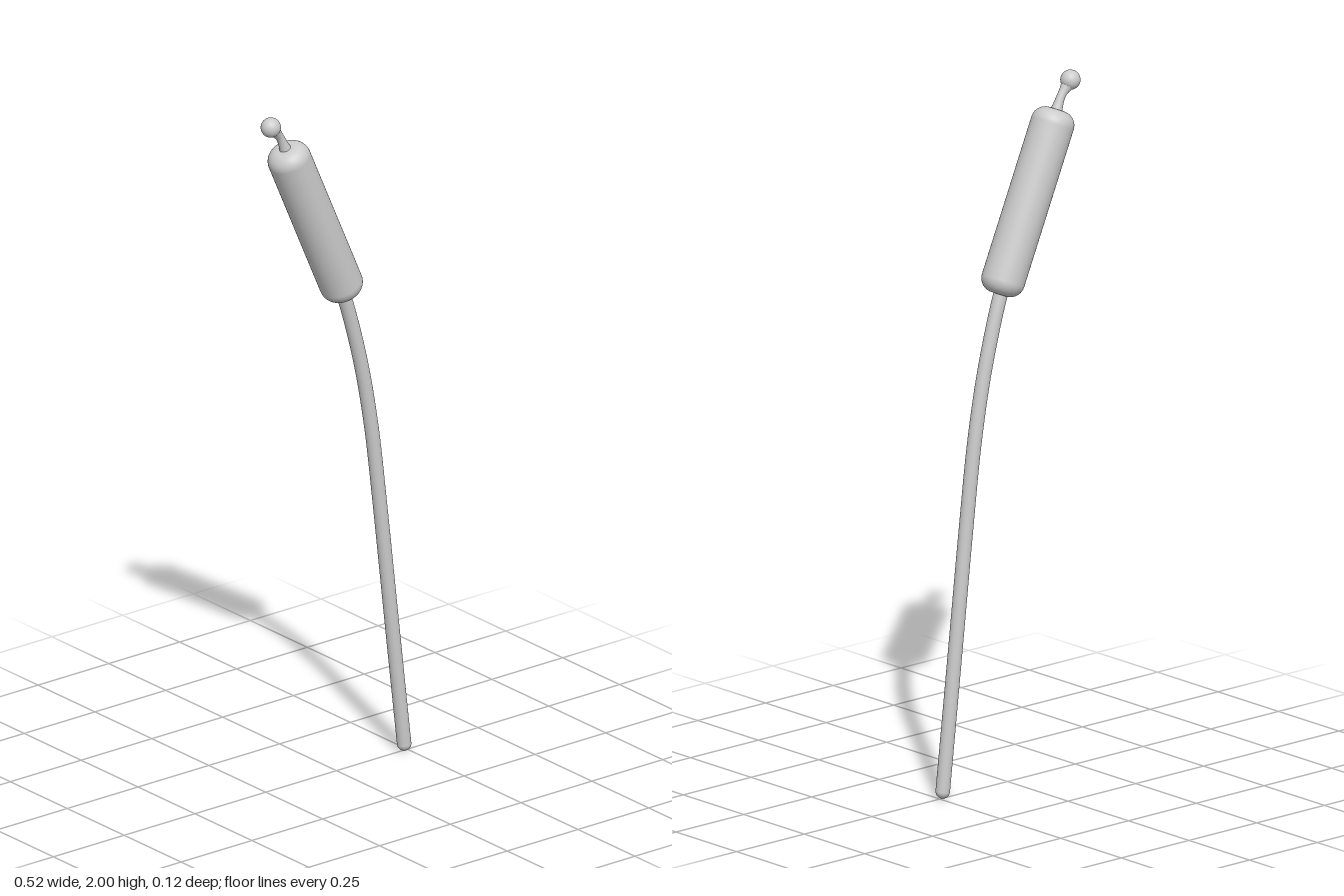
import * as THREE from 'three';
import { mergeVertices } from 'three/addons/utils/BufferGeometryUtils.js';

const material = new THREE.MeshStandardMaterial({ color: 0xcccccc });

function addPart(group, name, geometry) {
  const mesh = new THREE.Mesh(geometry, material);
  mesh.name = name;
  group.add(mesh);
  return mesh;
}

// Round tube along a curve; radiusAt(u) gives the radius at each arc-length fraction
function taperedTube(points, radiusAt, rings = 48, sides = 24) {
  const curve = new THREE.CatmullRomCurve3(points.map(([x, y]) => new THREE.Vector3(x, y, 0)));
  let geometry = new THREE.TubeGeometry(curve, rings, 1, sides);
  const pos = geometry.attributes.position;
  const v = new THREE.Vector3();
  for (let i = 0; i < pos.count; i++) {
    const u = Math.floor(i / (sides + 1)) / rings;
    const centre = curve.getPointAt(u);
    v.fromBufferAttribute(pos, i).sub(centre).multiplyScalar(radiusAt(u)).add(centre);
    pos.setXYZ(i, v.x, v.y, v.z);
  }
  geometry.deleteAttribute('uv');
  geometry.deleteAttribute('normal');
  geometry = mergeVertices(geometry, 1e-5);
  geometry.computeVertexNormals();
  return geometry;
}

// Cylinder with filleted rims, centred on the origin along y
function roundedCylinder(radius, halfLength, fillet) {
  const profile = [new THREE.Vector2(0, -halfLength)];
  for (const end of [-1, 1]) {
    for (let i = 0; i <= 10; i++) {
      const a = (Math.PI / 2) * (end < 0 ? i / 10 - 1 : i / 10);
      profile.push(new THREE.Vector2(
        radius - fillet + fillet * Math.cos(a),
        end * (halfLength - fillet) + fillet * Math.sin(a)
      ));
    }
  }
  profile.push(new THREE.Vector2(0, halfLength));
  return new THREE.LatheGeometry(profile, 48);
}

export function createModel() {
  const group = new THREE.Group();
  group.name = 'cattail';

  // Long stalk, straight below and bending into the seed head
  const stalk = [[0.239, 0.02], [0.212, 0.25], [0.183, 0.5], [0.154, 0.75],
    [0.122, 1.0], [0.084, 1.2], [0.028, 1.4], [-0.005, 1.48]];
  addPart(group, 'stalk', taperedTube(stalk, () => 0.02, 64));

  // Rounded foot of the stalk
  const foot = addPart(group, 'stalkFoot', new THREE.SphereGeometry(0.02, 24, 16));
  foot.position.set(0.239, 0.02, 0);

  // Thick seed head
  const head = addPart(group, 'seedHead', roundedCylinder(0.061, 0.267, 0.04));
  head.position.set(-0.075, 1.6525, 0);
  head.rotation.z = THREE.MathUtils.degToRad(23.7);

  // Waisted spike rising from the head
  const spike = [[-0.168, 1.865], [-0.183, 1.9], [-0.2, 1.935], [-0.229, 1.968]];
  addPart(group, 'spike', taperedTube(spike,
    (u) => 0.012 + 0.04 * (u - 0.62) ** 2 + (u > 0.62 ? 0.05 * (u - 0.62) ** 2 : 0), 32));

  // Ball at the tip
  const tip = addPart(group, 'tipBall', new THREE.SphereGeometry(0.028, 32, 20));
  tip.position.set(-0.232, 1.972, 0);

  return group;
}
